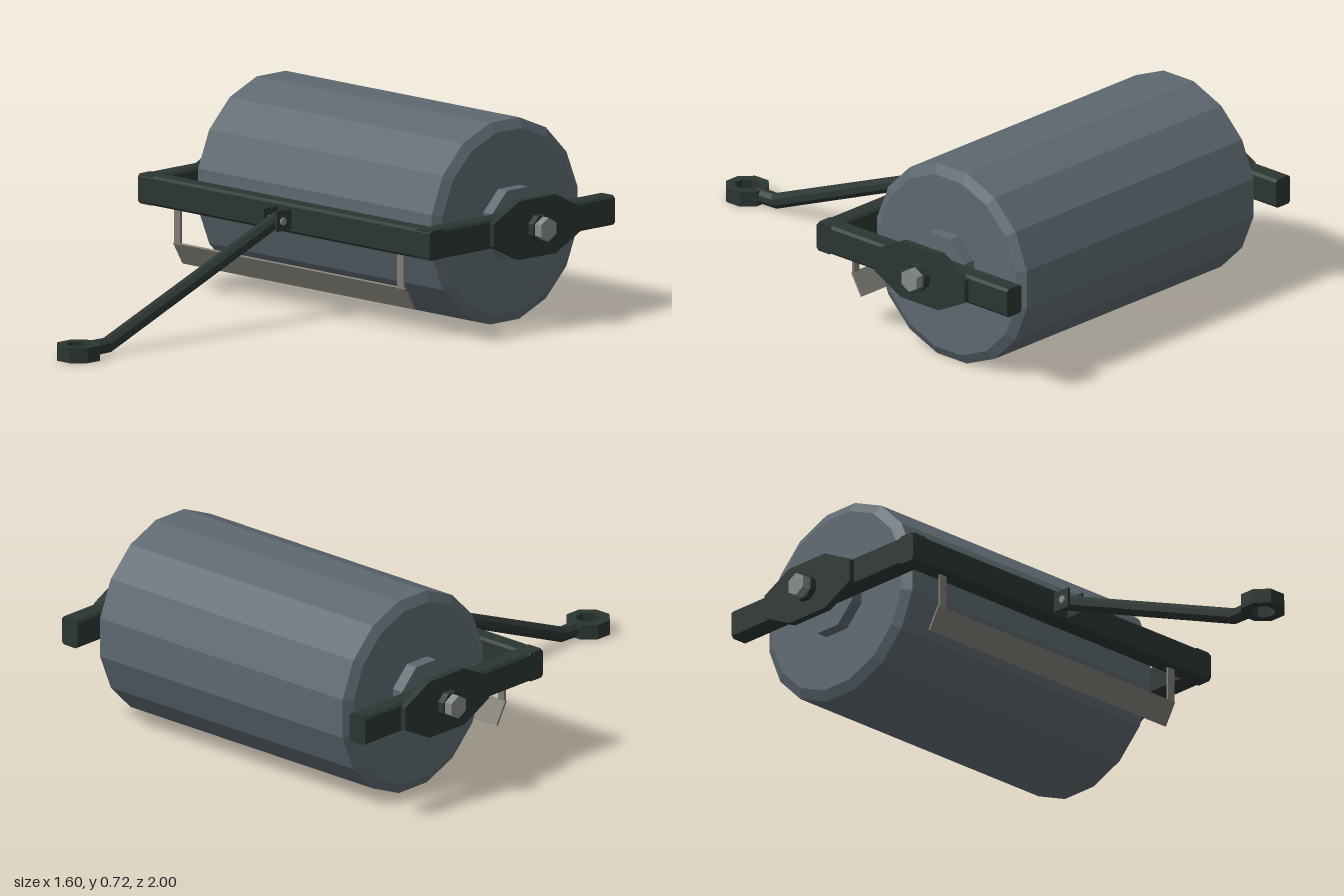
import * as THREE from 'three';

const mat = (name, color) => {
  const m = new THREE.MeshStandardMaterial({ color, flatShading: true });
  m.name = name;
  return m;
};

export function createModel() {
  const root = new THREE.Group();
  root.name = 'fieldRoller';
  const drumSteel = mat('drumSteel', 0x5d686f);
  const frameIron = mat('frameIron', 0x2b3532);
  const boltSteel = mat('boltSteel', 0x858a87);
  const scraperSteel = mat('scraperSteel', 0x7e7c74);
  const AY = 0.36, AZ = -0.6; // axle position

  const add = (name, geo, material, x = 0, y = 0, z = 0) => {
    const m = new THREE.Mesh(geo, material);
    m.name = name;
    m.position.set(x, y, z);
    root.add(m);
    return m;
  };

  // prism along x; flats face up and forward for side counts divisible by four
  const prismX = (apothem, length, sides, turn = Math.PI / sides) => {
    const g = new THREE.CylinderGeometry(1, 1, length, sides);
    const r = apothem / Math.cos(Math.PI / sides);
    return g.scale(r, 1, r).rotateY(turn).rotateZ(Math.PI / 2);
  };

  // box with small bevels, its long side along z
  const bar = (w, h, len, b = 0.009) => {
    const x = w / 2, y = h / 2;
    const s = new THREE.Shape([
      [-x + b, -y], [x - b, -y], [x, -y + b], [x, y - b],
      [x - b, y], [-x + b, y], [-x, y - b], [-x, -y + b],
    ].map(p => new THREE.Vector2(...p)));
    return new THREE.ExtrudeGeometry(s, { depth: len, bevelEnabled: false }).translate(0, 0, -len / 2);
  };

  // drum with chamfered rims
  const k = 1 / Math.cos(Math.PI / 16);
  const drumProfile = [[0, -0.6], [0.325, -0.6], [0.36, -0.58], [0.36, 0.58], [0.325, 0.6], [0, 0.6]]
    .map(([r, y]) => new THREE.Vector2(r * k, y));
  const drum = new THREE.LatheGeometry(drumProfile, 16).rotateY(Math.PI / 16).rotateZ(Math.PI / 2);
  add('drum', drum, drumSteel, 0, AY, AZ);

  // bearing plate outline, drawn in the side plane
  const half = [[0.215, 0.042], [0.09, 0.105], [-0.09, 0.105], [-0.215, 0.042]];
  const outline = [...half, ...half.map(([a, b]) => [-a, -b])].map(p => new THREE.Vector2(...p));

  // front beam
  add('frontBeam', bar(0.07, 0.106, 1.45).rotateY(Math.PI / 2), frameIron, 0, AY + 0.002, -0.122);

  for (const [side, s] of [['left', 1], ['right', -1]]) {
    add(side + 'SideBeam', bar(0.074, 0.106, 0.91), frameIron, s * 0.688, AY + 0.002, -0.545);
    add(side + 'Hub', prismX(0.124, 0.05, 8), drumSteel, s * 0.62, AY, AZ);
    const plate = new THREE.ExtrudeGeometry(new THREE.Shape(outline), { depth: 0.028, bevelEnabled: false })
      .translate(0, 0, -0.014).rotateY(Math.PI / 2);
    add(side + 'BearingPlate', plate, frameIron, s * 0.731, AY + 0.001, AZ);
    add(side + 'Washer', prismX(0.046, 0.025, 8), frameIron, s * 0.757, AY, AZ);
    add(side + 'AxleBolt', prismX(0.037, 0.16, 6, Math.PI / 6), boltSteel, s * 0.72, AY, AZ);
    // scraper hanger
    add(side + 'ScraperStrap', new THREE.BoxGeometry(0.03, 0.135, 0.009), scraperSteel, s * 0.555, 0.25, -0.115);
    // hitch cheek
    add(side + 'HitchCheek', new THREE.BoxGeometry(0.009, 0.074, 0.075), frameIron, s * 0.033, AY + 0.002, -0.054);
  }

  // scraper blade, slanting back to the drum
  const blade = add('scraperBlade', new THREE.BoxGeometry(1.15, 0.092, 0.008), scraperSteel, 0, 0.147, -0.138);
  blade.rotation.x = 0.53;

  // hitch pin
  add('hitchPin', prismX(0.013, 0.088, 8), boltSteel, 0, AY, -0.044);

  // draw pole: long sloping part and short level end
  const rod = (name, y0, z0, y1, z1) => {
    const a = new THREE.Vector3(0, y0, z0), b = new THREE.Vector3(0, y1, z1);
    const r = 0.026 / Math.cos(Math.PI / 8);
    const g = new THREE.CylinderGeometry(r, r * 0.95, a.distanceTo(b), 8).rotateY(Math.PI / 8);
    const m = add(name, g, frameIron);
    m.position.copy(a).add(b).multiplyScalar(0.5);
    m.quaternion.setFromUnitVectors(new THREE.Vector3(0, 1, 0), b.sub(a).normalize());
  };
  rod('drawPole', 0.362, -0.055, 0.03, 0.785);
  rod('drawPoleEnd', 0.03, 0.775, 0.03, 0.87);

  // octagonal towing ring
  const octagon = (apothem) => Array.from({ length: 8 }, (_, i) => {
    const t = (i + 0.5) * Math.PI / 4, r = apothem / Math.cos(Math.PI / 8);
    return new THREE.Vector2(Math.cos(t) * r, Math.sin(t) * r);
  });
  const ring = new THREE.Shape(octagon(0.075));
  ring.holes.push(new THREE.Path(octagon(0.042)));
  const ringGeo = new THREE.ExtrudeGeometry(ring, { depth: 0.054, bevelEnabled: false }).rotateX(-Math.PI / 2);
  add('towingRing', ringGeo, frameIron, 0, 0, 0.925);

  return root;
}
